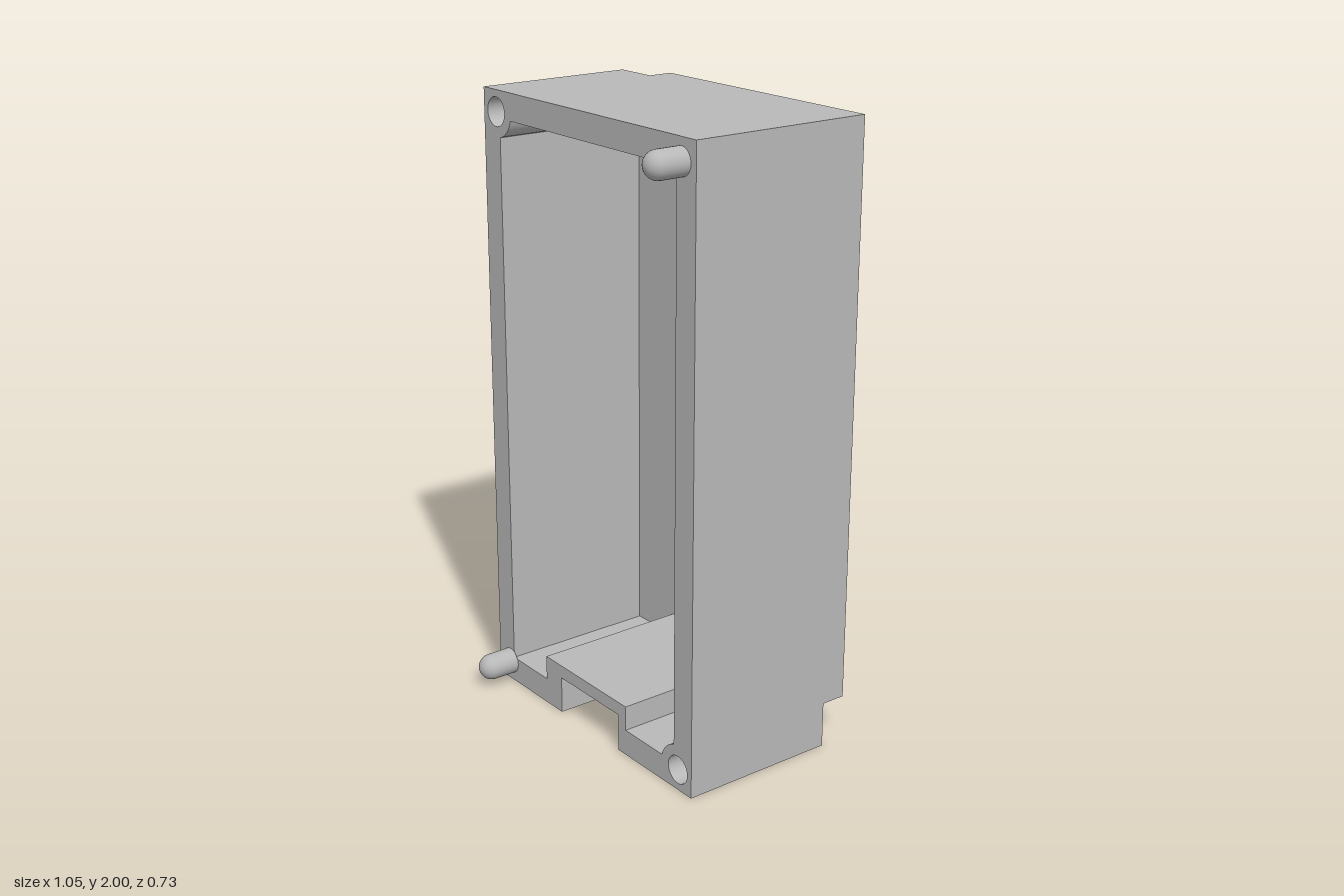
import * as THREE from 'three';

const W = 0.523, H = 2, FRONT = 0.245, BACK = -0.367, FLOOR = -0.285;
const PX = 0.457, PY = 0.068;       // corner fastener offset from centre / from edge
const BOSS = 0.08, BORE = 0.046, PEG = 0.043;
const MARK_DEPTH = 0.004;

export function createModel() {
  const group = new THREE.Group();
  const grey = new THREE.MeshStandardMaterial({ color: 0xb8b8b8 });
  grey.name = 'casing grey';

  const add = (name, geometry) => {
    const mesh = new THREE.Mesh(geometry, grey);
    mesh.name = name;
    group.add(mesh);
    return mesh;
  };
  const slab = (name, shape, z0, z1) => {
    const geo = new THREE.ExtrudeGeometry(shape, { depth: z1 - z0, bevelEnabled: false, curveSegments: 24 });
    geo.translate(0, 0, z0);
    return add(name, geo);
  };
  const circle = (x, y, r) => new THREE.Path().absarc(x, y, r, 0, Math.PI * 2, true);
  const line = (path, pts) => pts.forEach(([x, y]) => path.lineTo(x, y));

  // Side walls: frame with the cable notch at the bottom
  const frame = new THREE.Shape();
  frame.moveTo(-W, 0);
  line(frame, [[-0.157, 0], [-0.157, 0.124], [0.155, 0.124], [0.155, 0], [W, 0], [W, H], [-W, H]]);
  frame.closePath();

  // Cavity, stepping over the notch and curving around two screw bosses
  const cx = 0.437, y0 = 0.086, y1 = H - 0.086;
  const a = Math.asin((y0 - PY) / BOSS), b = Math.acos((PX - cx) / BOSS);
  const cavity = new THREE.Path();
  cavity.moveTo(-cx, y0);
  line(cavity, [[-0.243, y0], [-0.243, 0.168], [0.193, 0.168], [0.193, y0]]);
  cavity.absarc(PX, PY, BOSS, Math.PI - a, Math.PI - b, true);
  cavity.lineTo(cx, y1);
  cavity.absarc(-PX, H - PY, BOSS, -a, -b, true);
  cavity.closePath();
  frame.holes.push(cavity, circle(-PX, H - PY, BORE), circle(PX, PY, BORE));
  slab('sideWalls', frame, FLOOR, FRONT);

  // Back wall, cut away around the two screw holes
  const backShape = () => {
    const s = new THREE.Shape();
    s.moveTo(-W, 0);
    line(s, [[-0.157, 0], [-0.157, 0.124], [0.155, 0.124], [0.155, 0], [PX - BOSS, 0]]);
    s.absarc(PX, PY, BOSS, Math.PI, Math.PI / 2, true);
    line(s, [[W, PY + BOSS], [W, H], [-PX + BOSS, H]]);
    s.absarc(-PX, H - PY, BOSS, 0, -Math.PI / 2, true);
    s.lineTo(-W, H - PY - BOSS);
    s.closePath();
    return s;
  };
  slab('backWall', backShape(), BACK + MARK_DEPTH, FLOOR);

  // Outer skin of the back with a very shallow round dimple
  const skin = backShape();
  skin.holes.push(circle(0, 1, 0.13));
  slab('backSkin', skin, BACK, BACK + MARK_DEPTH);

  // Round-ended locating pegs on the other two corners
  const tip = 0.367 - FRONT;
  const profile = [new THREE.Vector2(PEG, 0)];
  for (let i = 0; i <= 8; i++) {
    const t = (i / 8) * Math.PI / 2;
    profile.push(new THREE.Vector2(i === 8 ? 0 : PEG * Math.cos(t), tip - PEG + PEG * Math.sin(t)));
  }
  for (const [name, x, y] of [['upperPeg', PX, H - PY], ['lowerPeg', -PX, PY]]) {
    const peg = add(name, new THREE.LatheGeometry(profile, 28));
    peg.rotation.x = Math.PI / 2;
    peg.position.set(x, y, FRONT);
  }
  return group;
}
